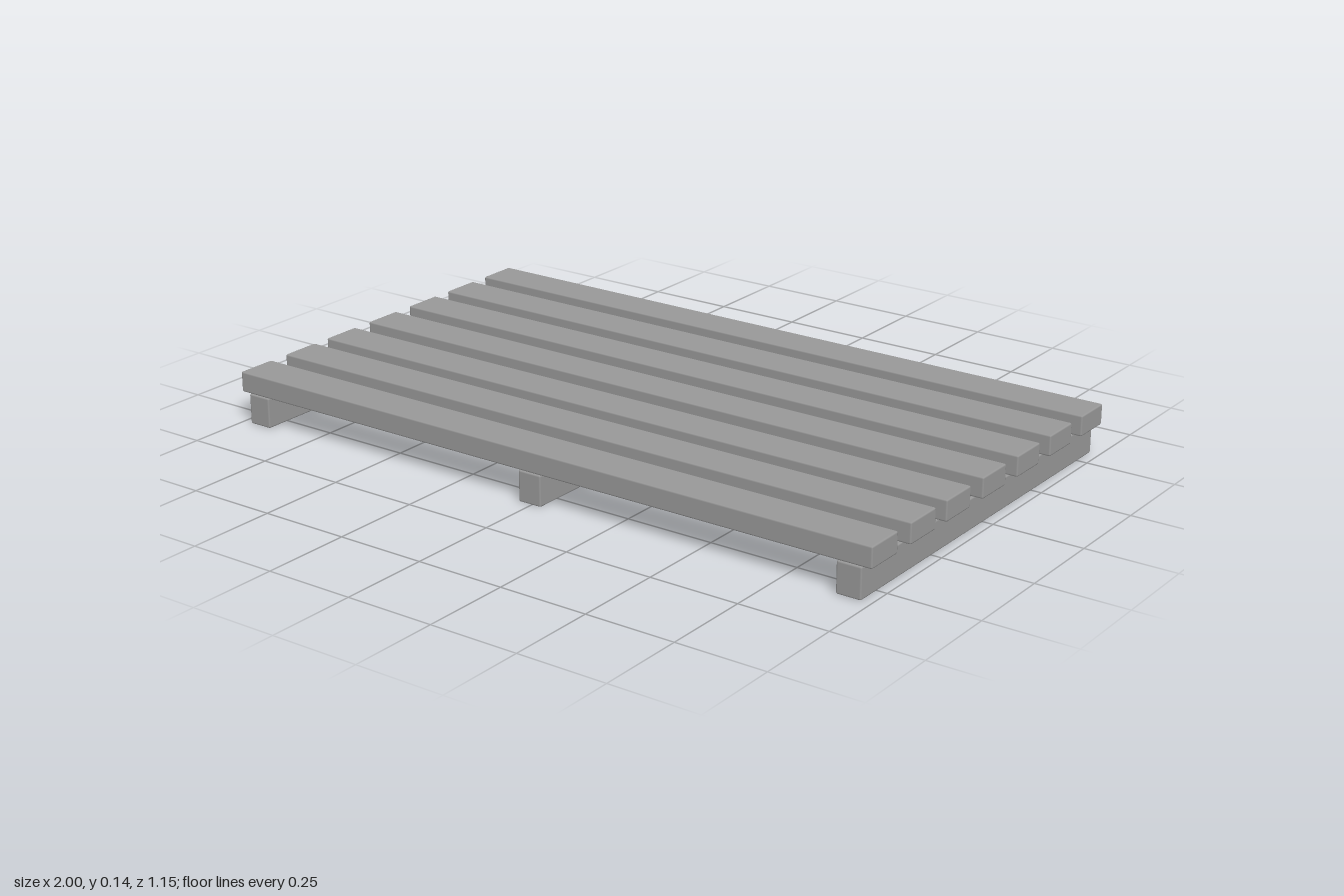
import * as THREE from 'three';
import { RoundedBoxGeometry } from 'three/addons/geometries/RoundedBoxGeometry.js';

const EDGE = 0.005; // slightly eased timber edges

export function createModel() {
  const model = new THREE.Group();
  model.name = 'pallet';
  const wood = new THREE.MeshStandardMaterial({ color: 0x999999 });

  const addTimber = (name, geometry, x, y, z) => {
    const mesh = new THREE.Mesh(geometry, wood);
    mesh.name = name;
    mesh.position.set(x, y, z);
    model.add(mesh);
  };

  // Three bearers running front to back
  const bearerHeight = 0.086;
  const bearer = new RoundedBoxGeometry(0.07, bearerHeight, 1.146, 1, EDGE);
  const bearers = { rightBearer: -0.938, middleBearer: -0.005, leftBearer: 0.938 };
  for (const [name, x] of Object.entries(bearers)) {
    addTimber(name, bearer, x, bearerHeight / 2, 0);
  }

  // Seven deck slats across the bearers, spaced a little unevenly
  const slatHeight = 0.058;
  const slat = new RoundedBoxGeometry(2, slatHeight, 0.115, 1, EDGE);
  [0.515, 0.342, 0.176, 0.001, -0.173, -0.344, -0.515].forEach((z, i) => {
    addTimber(`deckSlat${i + 1}`, slat, 0, bearerHeight + slatHeight / 2, z);
  });

  return model;
}
